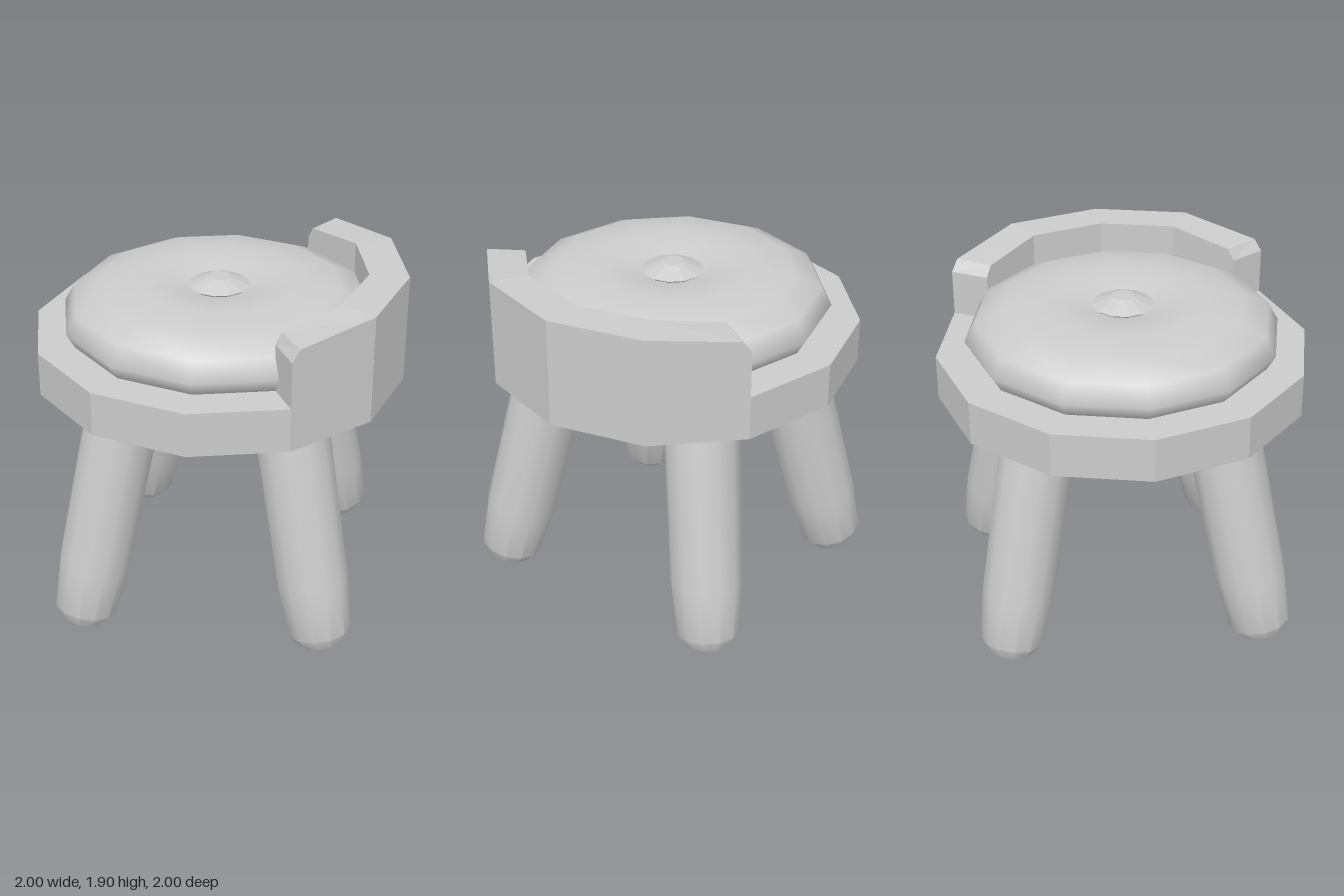
import * as THREE from 'three';
import { toCreasedNormals } from 'three/addons/utils/BufferGeometryUtils.js';

const SIDES = 12;

export function createModel() {
  const model = new THREE.Group();
  const smooth = new THREE.MeshStandardMaterial({ color: 0xcccccc });
  const flat = new THREE.MeshStandardMaterial({ color: 0xcccccc, flatShading: true });

  const add = (name, geometry, material) => {
    const mesh = new THREE.Mesh(geometry, material);
    mesh.name = name;
    model.add(mesh);
    return mesh;
  };
  const lathe = (points) =>
    new THREE.LatheGeometry(points.map(([r, y]) => new THREE.Vector2(r, y)), SIDES);

  // Twelve-sided seat with a very shallow recess underneath
  add('seat', lathe([[0, 1.315], [0.84, 1.315], [0.84, 1.31], [1, 1.31], [1, 1.55], [0, 1.55]]), flat);

  // Puffy cushion, dimpled in the middle
  add('cushion', lathe([
    [0.76, 1.53], [0.80, 1.55], [0.845, 1.63], [0.79, 1.73], [0.65, 1.795],
    [0.45, 1.825], [0.30, 1.815], [0.18, 1.785], [0.08, 1.76], [0, 1.76],
  ]), smooth);

  // Faceted button in the dimple
  add('cushionButton', lathe([[0, 1.76], [0.14, 1.77], [0.165, 1.79], [0.06, 1.835], [0, 1.835]]), flat);

  add('backrest', backrestGeometry(), flat);

  // Splayed legs: bottom centres, all leaning inwards
  const legShape = toCreasedNormals(lathe([
    [0, 0], [0.122, 0], [0.17, 0.065], [0.194, 0.36], [0.2, 1.38], [0, 1.38],
  ]), 0.6);
  const legs = {
    frontLeftLeg: [0.67, 0.675],
    frontRightLeg: [-0.645, 0.675],
    backLeftLeg: [0.625, -0.72],
    backRightLeg: [-0.595, -0.72],
  };
  const up = new THREE.Vector3(0, 1, 0);
  for (const [name, [x, z]] of Object.entries(legs)) {
    const leg = add(name, legShape, smooth);
    leg.position.set(x, 0.03, z);
    const axis = new THREE.Vector3(-0.178 * Math.sign(x), 1, -0.178 * Math.sign(z)).normalize();
    leg.quaternion.setFromUnitVectors(up, axis);
  }
  return model;
}

// Curved wall on the +x side, with a chamfer at the top of each end
function backrestGeometry() {
  const outer = 1, inner = 0.79, base = 1.55;
  const rim = (deg) => {
    const a = THREE.MathUtils.degToRad(deg);
    return new THREE.Vector2(Math.cos(a), Math.sin(a));
  };
  const nearEnd = (s) => rim(60 * s).lerp(rim(30 * s), 0.09);
  const stations = [
    [rim(-60), 1.80], [nearEnd(-1), 1.86], [rim(-30), 1.90], [rim(0), 1.90],
    [rim(30), 1.90], [nearEnd(1), 1.86], [rim(60), 1.80],
  ];
  const sections = stations.map(([p, top]) => [
    [p.x * outer, base, p.y * outer], [p.x * outer, top, p.y * outer],
    [p.x * inner, top, p.y * inner], [p.x * inner, base, p.y * inner],
  ]);

  const positions = [];
  const quad = (a, b, c, d) => positions.push(...a, ...b, ...c, ...a, ...c, ...d);
  for (let i = 0; i < sections.length - 1; i++) {
    for (let k = 0; k < 4; k++) {
      const n = (k + 1) % 4;
      quad(sections[i][k], sections[i][n], sections[i + 1][n], sections[i + 1][k]);
    }
  }
  // End faces
  const first = sections[0], last = sections[sections.length - 1];
  quad(first[0], first[3], first[2], first[1]);
  quad(...last);

  const geometry = new THREE.BufferGeometry();
  geometry.setAttribute('position', new THREE.Float32BufferAttribute(positions, 3));
  geometry.computeVertexNormals();
  return geometry;
}
